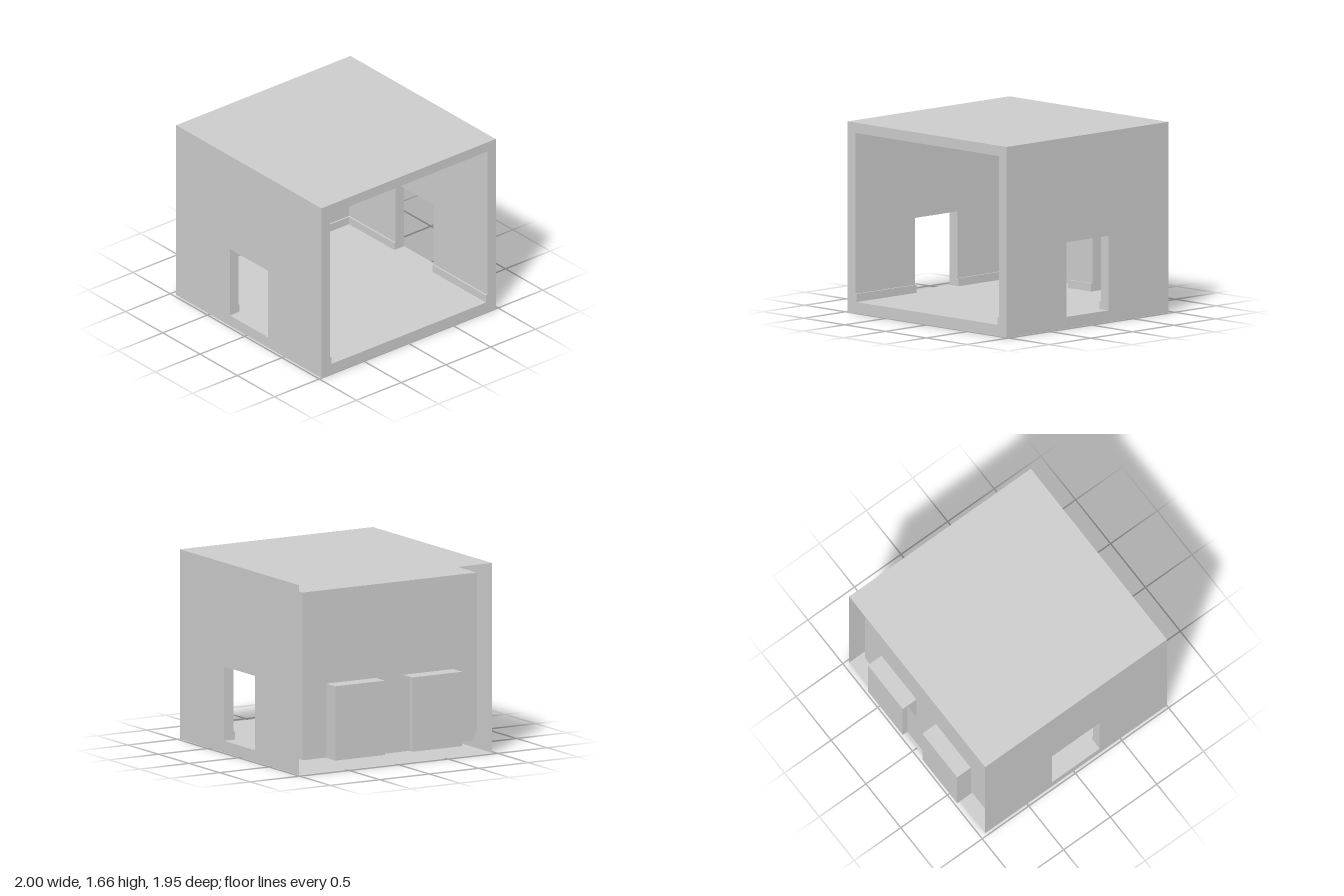
import * as THREE from 'three';

const grey = new THREE.MeshStandardMaterial({ color: 0xcccccc, side: THREE.DoubleSide, flatShading: true });

// Main dimensions: outer shell, inner room, skirting face, openings
const X0 = -0.95, X1 = 1, H = 1.66, Z = 0.975;
const inX = -0.853, inZ = 0.88, floorY = 0.1, ceilY = 1.57;
const skX = -0.838, skZ = 0.865, skY = 0.17;
const doorX = [-0.23, 0.28], doorTop = 0.75;
const nicheX = -1, nicheZ = [0.14, 0.64];

const rect = (a0, b0, a1, b1) => [[a0, b0], [a1, b0], [a1, b1], [a0, b1]];

// Maps a flat outline onto a plane: x -> (z, y), y -> (x, z), z -> (x, y)
const place = {
  x: (a, b, at) => [at, b, a],
  y: (a, b, at) => [a, at, b],
  z: (a, b, at) => [a, b, at],
};

// Thin flat panel with optional holes, facing the positive (dir 1) or negative (dir -1) axis
function sheet(parent, name, axis, at, outline, dir = 1, holes = []) {
  const toPoints = (list) => list.map(([a, b]) => new THREE.Vector2(a, b));
  const shape = new THREE.Shape(toPoints(outline));
  holes.forEach((h) => shape.holes.push(new THREE.Path(toPoints(h))));
  const geo = new THREE.ShapeGeometry(shape);
  const pos = geo.attributes.position;
  for (let i = 0; i < pos.count; i++) pos.setXYZ(i, ...place[axis](pos.getX(i), pos.getY(i), at));
  // x and y mappings mirror the outline
  if ((axis === 'z' ? 1 : -1) * dir < 0) geo.index.array.reverse();
  geo.computeVertexNormals();
  const mesh = new THREE.Mesh(geo, grey);
  mesh.name = name;
  parent.add(mesh);
}

function part(parent, name) {
  const g = new THREE.Group();
  g.name = name;
  parent.add(g);
  return g;
}

export function createModel() {
  const model = new THREE.Group();
  model.name = 'room';

  // Roof, underside and the rim around the open side
  const shell = part(model, 'outerShell');
  sheet(shell, 'roof', 'y', H, rect(X0, -Z, X1, Z));
  sheet(shell, 'underside', 'y', 0, rect(X0, -Z, X1, Z), -1);
  const opening = [[-skZ, floorY], [skZ, floorY], [skZ, skY], [inZ, skY], [inZ, ceilY],
    [-inZ, ceilY], [-inZ, skY], [-skZ, skY]];
  sheet(shell, 'openSideRim', 'x', X1, rect(-Z, 0, Z, H), 1, [opening]);
  sheet(shell, 'pierBetweenNiches', 'x', X0, rect(-nicheZ[0], floorY, nicheZ[0], doorTop), -1);

  // Floor and ceiling of the room
  const interior = part(model, 'interior');
  sheet(interior, 'floor', 'y', floorY, rect(skX, -skZ, X1, skZ));
  sheet(interior, 'ceiling', 'y', ceilY, rect(inX, -inZ, X1, inZ), -1);

  // Front and back walls, each with a doorway and skirting
  const [d0, d1] = doorX;
  for (const s of [1, -1]) {
    const wall = part(model, s > 0 ? 'frontWall' : 'backWall');
    sheet(wall, 'outerFace', 'z', s * Z, rect(X0, 0, X1, H), s, [rect(d0, floorY, d1, doorTop)]);
    sheet(wall, 'innerFace', 'z', s * inZ, [[inX, skY], [d0, skY], [d0, doorTop], [d1, doorTop],
      [d1, skY], [X1, skY], [X1, ceilY], [inX, ceilY]], -s);
    const jamb = [[Z, floorY], [Z, doorTop], [inZ, doorTop], [inZ, skY], [skZ, skY], [skZ, floorY]]
      .map(([z, y]) => [s * z, y]);
    sheet(wall, 'doorJamb', 'x', d0, jamb, 1);
    sheet(wall, 'doorJamb', 'x', d1, jamb, -1);
    sheet(wall, 'doorHead', 'y', doorTop, rect(d0, s * inZ, d1, s * Z), -1);
    sheet(wall, 'doorThreshold', 'y', floorY, rect(d0, s * skZ, d1, s * Z));
    for (const [a, b, ledgeA] of [[skX, d0, inX], [d1, X1, d1]]) {
      sheet(wall, 'skirtingFace', 'z', s * skZ, rect(a, floorY, b, skY), -s);
      sheet(wall, 'skirtingTop', 'y', skY, rect(ledgeA, s * skZ, b, s * inZ));
    }
  }

  // Closed side wall, notched for the two niches
  const [n0, n1] = nicheZ;
  const side = part(model, 'sideWall');
  sheet(side, 'innerFace', 'x', inX, [[-inZ, skY], [-n1, skY], [-n1, doorTop], [-n0, doorTop],
    [-n0, skY], [n0, skY], [n0, doorTop], [n1, doorTop], [n1, skY], [inZ, skY], [inZ, ceilY], [-inZ, ceilY]]);
  for (const [a, b] of [[-skZ, -n1], [-n0, n0], [n1, skZ]]) {
    sheet(side, 'skirtingFace', 'x', skX, rect(a, floorY, b, skY));
    sheet(side, 'skirtingTop', 'y', skY, rect(inX, a, skX, b));
  }

  // Niches projecting out past the side wall
  for (const s of [1, -1]) {
    const niche = part(model, s > 0 ? 'frontNiche' : 'backNiche');
    const cheek = [[nicheX, floorY], [skX, floorY], [skX, skY], [inX, skY], [inX, doorTop], [nicheX, doorTop]];
    sheet(niche, 'nicheBack', 'x', nicheX, rect(s * n0, floorY, s * n1, doorTop), -1);
    sheet(niche, 'nicheTop', 'y', doorTop, rect(nicheX, s * n0, inX, s * n1));
    sheet(niche, 'nicheFloor', 'y', floorY, rect(nicheX, s * n0, skX, s * n1), -1);
    sheet(niche, 'nicheCheek', 'z', s * n0, cheek, -s);
    sheet(niche, 'nicheCheek', 'z', s * n1, cheek, s);
  }

  return model;
}
